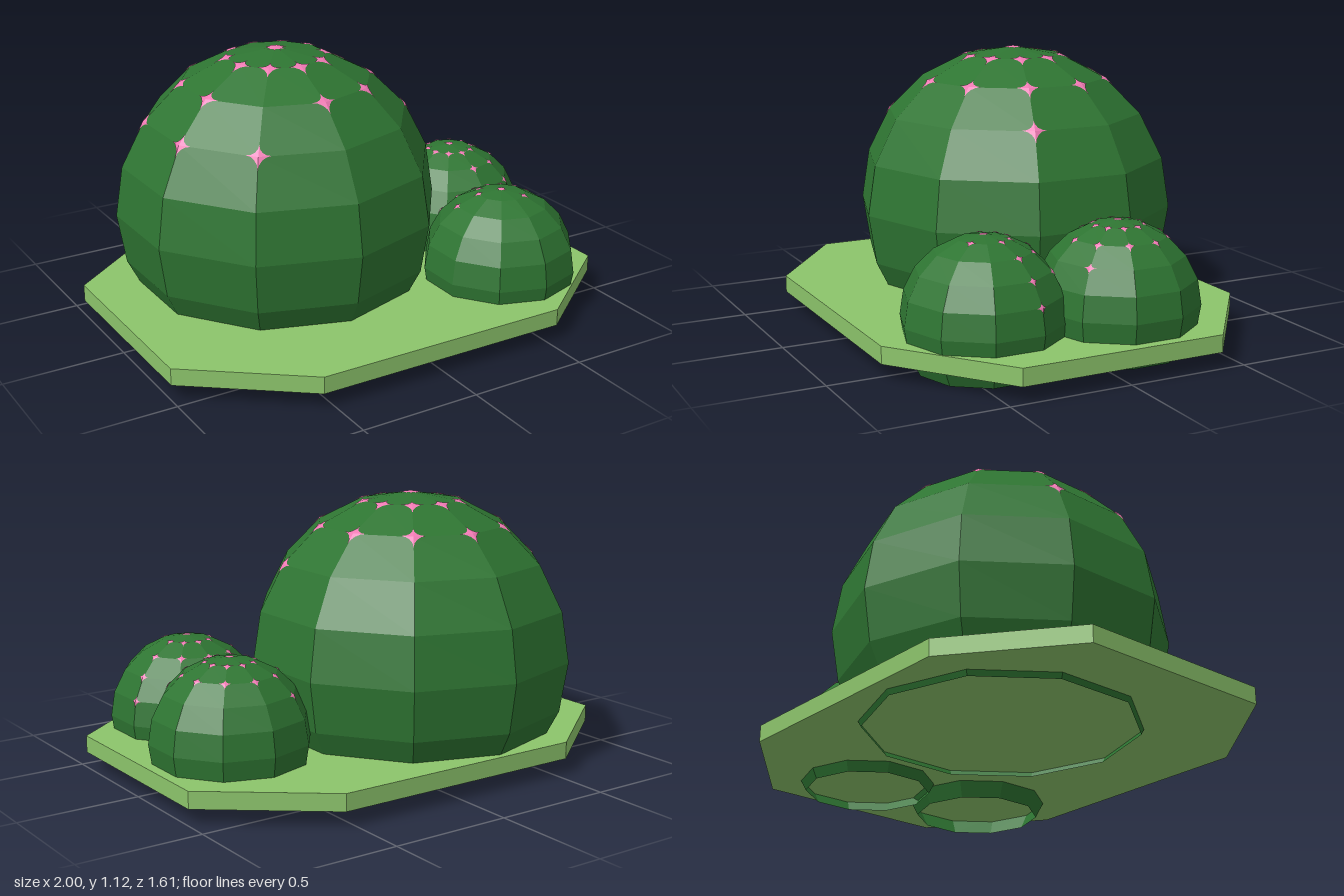
import * as THREE from 'three';

const SIDES = 10;
const STEP = Math.PI / 10;
const green = new THREE.MeshStandardMaterial({ color: 0x2e7532, flatShading: true, side: THREE.DoubleSide });
const lime = new THREE.MeshStandardMaterial({ color: 0x8cc46b, flatShading: true });
const pink = new THREE.MeshStandardMaterial({ color: 0xf07ab4, flatShading: true, side: THREE.DoubleSide });

// Dome corner: ring 0 is the apex, k counts clockwise from the back
function corner(R, ring, k) {
  const r = R * Math.sin(ring * STEP), a = k * 2 * Math.PI / SIDES;
  return new THREE.Vector3(r * Math.sin(a), R * Math.cos(ring * STEP), -r * Math.cos(a));
}

// Concave star with one arm along each facet edge, lying on the facets
function star(R, ring, k) {
  const v = corner(R, ring, k);
  const around = ring === 0
    ? Array.from({ length: SIDES }, (_, i) => corner(R, 1, -i))
    : [corner(R, ring - 1, k), corner(R, ring, k + 1), corner(R, ring + 1, k), corner(R, ring, k - 1)];
  const arms = around.map(n => n.sub(v).setLength(R * 0.078));
  const lift = v.clone().setLength(0.003);
  const c = v.clone().add(lift);
  const rim = [];
  arms.forEach((a, i) => {
    const b = arms[(i + 1) % arms.length];
    for (let j = 0; j < 4; j++) {
      const t = j * Math.PI / 8;
      rim.push(c.clone().addScaledVector(a, 1 - Math.sin(t)).addScaledVector(b, 1 - Math.cos(t)));
    }
  });
  const pos = [];
  rim.forEach((p, i) => [c, p, rim[(i + 1) % rim.length]].forEach(q => pos.push(q.x, q.y, q.z)));
  const geo = new THREE.BufferGeometry();
  geo.setAttribute('position', new THREE.Float32BufferAttribute(pos, 3));
  geo.computeVertexNormals();
  const mesh = new THREE.Mesh(geo, pink);
  mesh.name = 'flower';
  return mesh;
}

// Faceted cactus ball, open below, with flowers[i] listing the corners of ring i that bloom
function cactus(name, R, x, y, z, flowers) {
  const g = new THREE.Group();
  g.name = name;
  g.position.set(x, y, z);
  const body = new THREE.Mesh(
    new THREE.SphereGeometry(R, SIDES, 7, Math.PI / 2, Math.PI * 2, 0, 7 * STEP), green);
  body.name = name + 'Body';
  g.add(body);
  flowers.forEach((list, ring) => list.forEach(k => g.add(star(R, ring, k))));
  return g;
}

export function createModel() {
  const model = new THREE.Group();
  model.name = 'cactusCluster';

  // Eight-sided ground slab
  const outline = [[-0.545, -0.8], [0.545, -0.8], [1, -0.45], [1, 0.4],
    [0.545, 0.755], [-0.545, 0.755], [-1, 0.4], [-1, -0.45]];
  const shape = new THREE.Shape(outline.map(p => new THREE.Vector2(...p)));
  const slab = new THREE.Mesh(
    new THREE.ExtrudeGeometry(shape, { depth: 0.07, bevelEnabled: false }).rotateX(-Math.PI / 2), lime);
  slab.position.y = 0.065;
  slab.name = 'groundSlab';
  model.add(slab);

  // Three cactus balls
  const all = [0, 1, 2, 3, 4, 5, 6, 7, 8, 9];
  model.add(cactus('largeCactus', 0.675, -0.218, 0.44, -0.135,
    [[0], all, all.filter(k => k !== 6), [3, 6, 7, 8]]));
  model.add(cactus('frontCactus', 0.325, 0.556, 0.191, 0.387,
    [[0], [0, 1, 2, 4, 8, 9], [0, 1, 2, 8, 9], [1, 2, 9], [2]]));
  model.add(cactus('sideCactus', 0.325, 0.66, 0.214, -0.137,
    [[0], all, all.filter(k => k !== 6), [4, 9]]));
  return model;
}
